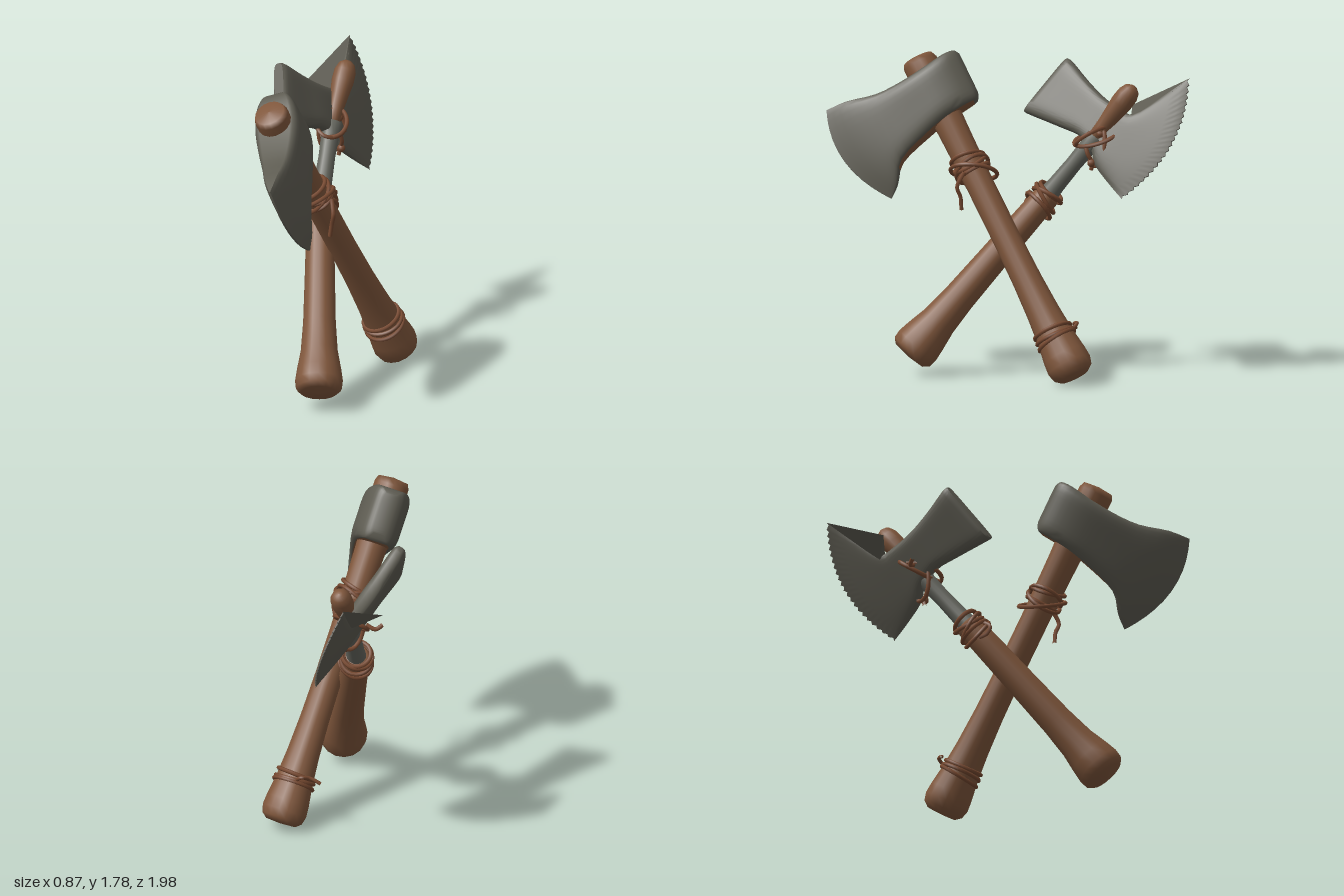
import * as THREE from 'three';
import { toCreasedNormals } from 'three/addons/utils/BufferGeometryUtils.js';

const V = (x, y, z) => new THREE.Vector3(x, y, z);
const paint = (name, color) => {
  const m = new THREE.MeshStandardMaterial({ color });
  m.name = name;
  return m;
};

export function createModel() {
  const group = new THREE.Group();
  const metal = paint('dark metal', 0x5e5c52);
  const steel = paint('shaft metal', 0x66675f);
  const wood = paint('brown wood', 0x80573c);
  const leather = paint('leather cord', 0x784a31);

  const add = (name, geometry, material, parent = group) => {
    const mesh = new THREE.Mesh(geometry, material);
    mesh.name = name;
    parent.add(mesh);
    return mesh;
  };

  // Round part along a line; profile holds [radius, distance from start]
  const turned = (name, from, to, profile, material) => {
    const pts = profile.map(([r, y]) => new THREE.Vector2(r, y));
    const mesh = add(name, new THREE.LatheGeometry(pts, 16), material);
    mesh.position.copy(from);
    mesh.quaternion.setFromUnitVectors(V(0, 1, 0), to.clone().sub(from).normalize());
  };

  // Axe head skinned over stations [bottom u, bottom v, top u, top v, bulge, half thickness]
  const headGeometry = (stations, rows, rim, tooth, underside) => {
    const c1 = new THREE.CatmullRomCurve3(stations.map(s => V(s[0], s[1], s[2])), false, 'catmullrom');
    const c2 = new THREE.CatmullRomCurve3(stations.map(s => V(s[3], s[4], s[5])), false, 'catmullrom');
    const cols = (stations.length - 1) * 3, ring = (rows + 1) * 2;
    const pos = [], body = [], under = [];
    for (let s = 0; s <= cols; s++) {
      const a = c1.getPoint(s / cols), b = c2.getPoint(s / cols);
      for (let j = 0; j < ring; j++) {
        const front = j <= rows, i = front ? j : ring - 1 - j;
        const k = i / rows;
        // rows crowd toward the rims unless the edge is toothed
        const t = tooth ? k : (1 - Math.cos(Math.PI * k)) / 2;
        const round = rim + (1 - rim) * Math.sqrt(1 - Math.abs(2 * t - 1) ** 6);
        const notch = s === cols && i % 2 ? tooth : 0;
        pos.push(a.x + (a.z - a.x) * t + b.y * 4 * t * (1 - t) - notch,
          a.y + (b.x - a.y) * t,
          Math.max(b.z, 0.003) * round * (front ? 1 : -1));
      }
    }
    for (let s = 0; s < cols; s++) {
      for (let j = 0; j < ring; j++) {
        const n = (j + 1) % ring, p = s * ring, q = p + ring;
        const isUnder = j === ring - 1 && s >= underside[0] && s < underside[1];
        (isUnder ? under : body).push(p + j, q + j, q + n, p + j, q + n, p + n);
      }
    }
    const last = cols * ring;
    for (let i = 0; i < rows; i++) {
      const f = i, b = ring - 1 - i;
      body.push(f, f + 1, b, f + 1, b - 1, b);
      body.push(last + f, last + b, last + f + 1, last + f + 1, last + b, last + b - 1);
    }
    const geo = new THREE.BufferGeometry();
    geo.setAttribute('position', new THREE.Float32BufferAttribute(pos, 3));
    geo.setIndex([...body, ...under]);
    geo.addGroup(0, body.length, 0);
    geo.addGroup(body.length, under.length, 1);
    return toCreasedNormals(geo, 0.75);
  };

  // Places a head: u runs toward the cutting edge, v up along the edge
  const place = (object, origin, u, v) => {
    u.normalize();
    const n = u.clone().cross(v).normalize();
    object.quaternion.setFromRotationMatrix(new THREE.Matrix4().makeBasis(u, n.clone().cross(u), n));
    object.position.copy(origin);
  };

  const cord = (name, pts, closed = false, r = 0.012) =>
    add(name, new THREE.TubeGeometry(new THREE.CatmullRomCurve3(pts, closed), closed ? 32 : 14, r, 6, closed), leather);

  const loop = (name, center, e1, e2) => {
    const pts = [];
    for (let i = 0; i < 12; i++) {
      const t = i / 12 * Math.PI * 2;
      pts.push(center.clone().addScaledVector(e1, Math.cos(t)).addScaledVector(e2, Math.sin(t)));
    }
    cord(name, pts, true);
  };

  // Tilted loops round a shaft; each entry is [shift along axis, radius, tilt, turn]
  const wrap = (name, center, axis, loops) => {
    const x = V(0, 1, 0).cross(axis).normalize(), y = axis.clone().cross(x);
    for (const [shift, r, tilt, turn] of loops) {
      const e1 = x.clone().multiplyScalar(Math.cos(turn)).addScaledVector(y, Math.sin(turn));
      const e2 = axis.clone().cross(e1);
      loop(name, center.clone().addScaledVector(axis, shift),
        e1.multiplyScalar(r).addScaledVector(axis, r * tilt), e2.multiplyScalar(r));
    }
  };

  // ---- Broad axe ----
  const base = V(0.32, 0.07, -0.34), axisA = V(-0.344, 0.841, 0.415).normalize();
  const alongA = s => base.clone().addScaledVector(axisA, s);
  turned('broadAxeHandle', base, alongA(1), [[0, -0.005], [0.085, 0], [0.115, 0.025], [0.127, 0.07],
    [0.122, 0.13], [0.106, 0.24], [0.092, 0.4], [0.082, 0.6], [0.077, 0.85], [0.077, 1.2], [0.085, 1.55],
    [0.098, 1.85], [0.098, 1.96], [0.085, 1.99], [0, 2]], wood);
  const broad = add('broadAxeHead', headGeometry([
    [-0.215, 0.03, -0.215, 0.26, 0, 0.04], [-0.19, -0.01, -0.19, 0.288, 0, 0.08],
    [-0.12, -0.02, -0.12, 0.288, 0, 0.115], [0, -0.035, 0, 0.268, 0, 0.13],
    [0.15, -0.073, 0.15, 0.252, 0, 0.115], [0.325, -0.138, 0.3, 0.255, 0.02, 0.085],
    [0.405, -0.24, 0.46, 0.295, 0.05, 0.05], [0.47, -0.3, 0.58, 0.305, 0.09, 0.005],
  ], 14, 0.7, 0, [4, 16]), [metal, wood]);
  place(broad, V(-0.247, 1.457, 0.344), V(0.012, -0.432, 0.902), axisA);

  // Cords on the broad axe
  wrap('upperBroadCord', alongA(1.31), axisA, [[0.05, 0.092, 0.25, 0], [0.02, 0.096, -0.35, 0.5],
    [-0.01, 0.1, 0.45, 1], [-0.03, 0.094, 0.05, 2], [-0.03, 0.112, -0.6, 2.6]]);
  cord('upperBroadCordEnd', [V(-0.03, 1.16, 0.25), V(-0.02, 1.08, 0.29), V(-0.03, 1.02, 0.27), V(-0.04, 0.95, 0.265)]);
  wrap('lowerBroadCord', alongA(0.25), axisA, [[0.03, 0.105, 0.06, 0], [0, 0.108, -0.06, 1], [-0.025, 0.111, 0.1, 2]]);
  cord('lowerBroadCordEnd', [V(0.24, 0.31, -0.32), V(0.21, 0.35, -0.36), V(0.16, 0.34, -0.345), V(0.1, 0.31, -0.36)], false, 0.01);

  // ---- Serrated axe ----
  const butt = V(-0.09, 0.135, 0.55), neck = V(-0.11, 1.0, -0.2), crown = V(-0.055, 1.36, -0.49);
  turned('serratedAxeHandle', butt, neck, [[0, -0.01], [0.1, 0], [0.127, 0.025], [0.132, 0.07],
    [0.122, 0.14], [0.102, 0.25], [0.09, 0.42], [0.083, 0.7], [0.077, 1.0], [0.073, 1.16], [0.06, 1.18], [0, 1.18]], wood);
  turned('serratedAxeShaft', neck, crown, [[0.058, 0], [0.05, 0.1], [0.046, 0.25], [0.05, 0.38], [0.055, 0.45], [0, 0.47]], steel);
  turned('serratedAxeKnob', V(-0.06, 1.33, -0.46), V(0.02, 1.63, -0.68), [[0, 0], [0.04, 0.01], [0.042, 0.1],
    [0.052, 0.19], [0.062, 0.27], [0.06, 0.33], [0.045, 0.37], [0.02, 0.388], [0, 0.39]], wood);

  const serrated = new THREE.Group();
  serrated.name = 'serratedAxeHead';
  group.add(serrated);
  add('serratedBlade', headGeometry([
    [-0.47, -0.127, -0.364, 0.235, 0, 0.032], [-0.44, -0.13, -0.33, 0.228, 0, 0.045],
    [-0.217, -0.132, -0.2, 0.165, 0, 0.046], [-0.1, -0.138, -0.06, 0.11, 0, 0.05],
    [0.01, -0.19, 0.08, 0.08, 0, 0.045], [0.07, -0.26, 0.16, 0.085, 0.03, 0.038],
    [0.2, -0.33, 0.26, 0.22, 0.07, 0.022], [0.303, -0.378, 0.371, 0.382, 0.11, 0.004],
  ], 44, 0.35, 0.014, [0, 0]), [metal, metal], serrated);

  // Barb bent back from the upper corner of the blade
  const barb = new THREE.BufferGeometry();
  barb.setAttribute('position', new THREE.Float32BufferAttribute([
    0.047, 0.147, -0.14, 0.16, 0.05, 0.03, 0.17, 0.05, -0.03, 0.371, 0.382, 0, 0.25, 0.16, 0.02], 3));
  barb.setIndex([0, 1, 4, 0, 4, 3, 0, 3, 2, 0, 2, 1, 1, 2, 4, 2, 3, 4]);
  add('bladeBarb', toCreasedNormals(barb, 0.4), metal, serrated);
  place(serrated, V(-0.1, 1.44, -0.53), V(0.546, -0.258, -0.798), V(-0.213, 0.878, -0.429));

  // Cords on the serrated axe
  const axisB = neck.clone().sub(butt).normalize();
  wrap('neckCord', neck, axisB, [[0.05, 0.075, 0.2, 0], [0.02, 0.084, -0.3, 0.6], [0, 0.088, 0.35, 1.3],
    [-0.03, 0.088, 0, 2], [-0.055, 0.092, 0.3, 2.5]]);
  cord('neckCordEnd', [V(-0.18, 1.0, -0.13), V(-0.2, 0.97, -0.1), V(-0.19, 0.93, -0.12), V(-0.18, 0.91, -0.16)]);
  const lash = V(-0.06, 1.345, -0.48);
  loop('headCord', lash, V(0.03, 0.035, -0.12), V(0.075, -0.03, 0.01));
  loop('headCord', lash.clone().add(V(0, 0.01, 0)), V(-0.02, 0.05, -0.11), V(0.085, 0.03, 0.03));
  loop('headCord', lash.clone().add(V(0, -0.04, 0)), V(0.05, 0.08, -0.04), V(0.05, -0.09, -0.02));
  cord('headCordEnd', [V(-0.01, 1.3, -0.42), V(0, 1.26, -0.43), V(-0.01, 1.21, -0.455), V(-0.02, 1.17, -0.45)]);
  cord('headCordEnd', [V(-0.14, 1.36, -0.52), V(-0.19, 1.34, -0.54), V(-0.23, 1.36, -0.53)]);
  for (const p of [V(-0.025, 1.31, -0.51), V(-0.005, 1.21, -0.45), V(-0.02, 1.37, -0.5)])
    add('cordKnot', new THREE.SphereGeometry(0.023, 10, 8), leather).position.copy(p);

  return group;
}
